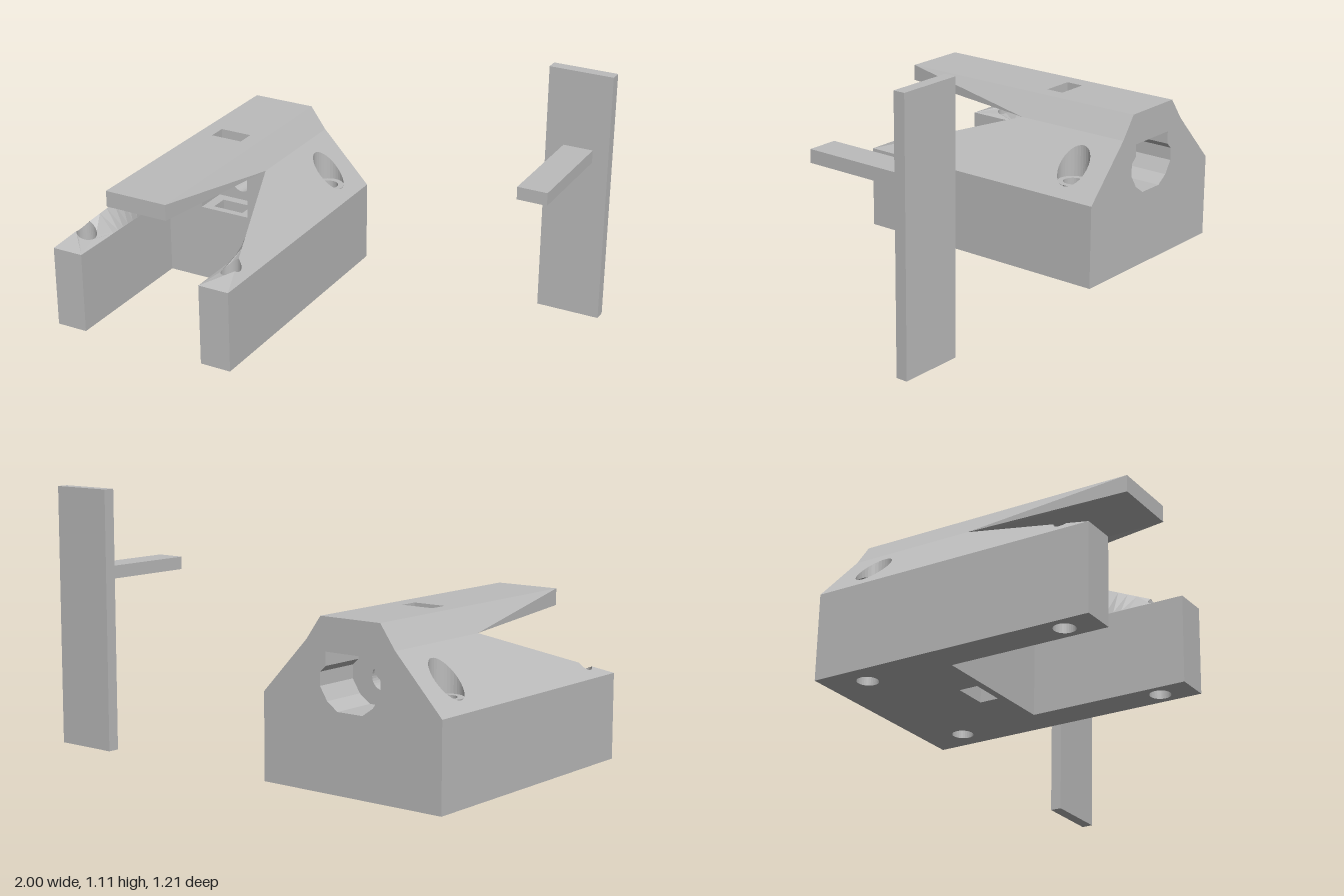
import * as THREE from 'three';

const grey = new THREE.MeshStandardMaterial({ color: 0xbcbcbc, side: THREE.DoubleSide });
grey.name = 'grey plastic';

const BASE = 0.005, BACK = -0.6, FRONT = 0.6, MID = -0.07;
const lerp = THREE.MathUtils.lerp;

function add(group, name, geo) {
  const mesh = new THREE.Mesh(geo, grey);
  mesh.name = name;
  group.add(mesh);
}

// Flat outline with holes, each 2D point placed in space by map(u, v)
function face(outline, holes, map) {
  const vec = (pts) => pts.map(([u, v]) => new THREE.Vector2(u, v));
  const shape = new THREE.Shape(vec(outline));
  shape.holes = holes.map((h) => new THREE.Path(vec(h)));
  const geo = new THREE.ShapeGeometry(shape).toNonIndexed();
  const p = geo.attributes.position;
  for (let i = 0; i < p.count; i++) p.setXYZ(i, ...map(p.getX(i), p.getY(i)));
  geo.computeVertexNormals();
  return geo;
}

// Ruled surface between two rows of 3D points
function ruled(a, b, closed = false) {
  const n = a.length, index = [];
  for (let i = 0; i < (closed ? n : n - 1); i++) {
    const j = (i + 1) % n;
    index.push(i, j, n + j, i, n + j, n + i);
  }
  let geo = new THREE.BufferGeometry();
  geo.setAttribute('position', new THREE.Float32BufferAttribute([...a, ...b].flat(), 3));
  geo.setIndex(index);
  geo = geo.toNonIndexed();
  geo.computeVertexNormals();
  return geo;
}

// Hole wall: one outline mapped to two ends
const tube = (pts, mapA, mapB) => ruled(pts.map((p) => mapA(...p)), pts.map((p) => mapB(...p)), true);

const arc = (cx, cy, r, a0, a1, n) =>
  Array.from({ length: n + 1 }, (_, i) => {
    const a = lerp(a0, a1, i / n);
    return [cx + r * Math.cos(a), cy + r * Math.sin(a)];
  });
const circle = (cx, cy, r) => arc(cx, cy, r, 0, Math.PI * 2, 32).slice(0, -1);
const rect = (x0, y0, x1, y1) => [[x0, y0], [x1, y0], [x1, y1], [x0, y1]];
const atY = (y) => (x, z) => [x, y, z];
const atZ = (z) => (x, y) => [x, y, z];
const mirrored = (half) => [...half, ...half.map(([x, y]) => [-x, y]).reverse()];

// Rear screw hole and front screw hole, measured out from the middle of the body
const REAR = [0.3215, -0.43], NOSE = [0.357, 0.46], BORE = 0.043;

// Half profile and the edges of the tapering side cut (t: 0 at the front, 1 at the slot's end)
const zAt = (t) => lerp(FRONT, MID, t);
const armX = (t) => 0.4275 - 0.215 * t;
const slopeY = (x) => 0.365 + (0.4275 - x) * (0.228 / 0.215);
const upperY = (x) => 0.69 - (x - 0.1425) * (0.097 / 0.07);
const steps = (t0, t1, n, f) => Array.from({ length: n + 1 }, (_, i) => f(lerp(t0, t1, i / n)));

function addSide(group, s, label) {
  const put = (name, geo) => add(group, label + name, geo);
  const m = (f) => (u, v) => { const [x, y, z] = f(u, v); return [s * x, y, z]; };
  const slope = m((x, z) => [x, slopeY(x), z]);

  // Front screw hole straddles the ridge of the arm: find where they cross
  const k = 0.215 / (FRONT - MID), phi = Math.atan(k);
  const cross = Math.acos((armX((FRONT - NOSE[1]) / (FRONT - MID)) - NOSE[0]) / (BORE * Math.hypot(1, k)));
  const outerArc = arc(...NOSE, BORE, -phi - cross, -phi + cross, 12);
  const innerArc = arc(...NOSE, BORE, -phi + cross, Math.PI * 2 - phi - cross, 20);

  // Outer wall, lower slope and upper slope
  put('OuterWall', face(rect(BASE, BACK, 0.365, FRONT), [], m((y, z) => [0.4275, y, z])));
  put('LowerSlope', face(
    [[0.4275, BACK], [0.2125, BACK], [0.2125, MID], ...outerArc, [0.4275, FRONT]],
    [circle(...REAR, 0.068)], slope));
  put('UpperSlope', face([[0.2125, BACK], [0.1425, BACK], [0.1425, FRONT], [0.2125, MID]], [],
    m((x, z) => [x, upperY(x), z])));

  // Arm: front end, inner wall and twisted top
  put('ArmFront', face(rect(0.2875, BASE, 0.4275, 0.365), [], m(atZ(FRONT))));
  put('ArmInnerWall', face(rect(BASE, MID, 0.365, FRONT), [], m((y, z) => [0.2875, y, z])));
  const ridge = (t) => [s * armX(t), slopeY(armX(t)), zAt(t)];
  const inner = (t) => [s * 0.2875, 0.365, zAt(t)];
  const twist = (t, u) => ridge(t).map((c, i) => lerp(c, inner(t)[i], u));
  const bite = innerArc.map(([x, z]) => {
    const t = (FRONT - z) / (FRONT - MID);
    return [t, (armX(t) - x) / (armX(t) - 0.2875)];
  });
  put('ArmTopFront', face([[0, 0], ...bite, [0.35, 0], [0.35, 1], [0, 1]], [], twist));
  put('ArmTopRear', ruled(steps(0.35, 1, 12, ridge), steps(0.35, 1, 12, inner)));

  // Tapering side and underside of the roof tongue
  const lip = (t) => [s * (0.1425 + 0.07 * t), 0.69 - 0.097 * t, zAt(t)];
  const under = (t) => [s * (0.1425 + 0.07 * t), 0.62 - 0.027 * t, zAt(t)];
  const mid = (t) => [s * 0.1425, 0.62, zAt(t)];
  put('TongueSide', ruled(steps(0, 1, 12, lip), steps(0, 1, 12, under)));
  put('TongueUnderside', ruled(steps(0, 1, 12, under), steps(0, 1, 12, mid)));

  // Counterbored rear screw hole
  const seat = 0.41, wide = circle(...REAR, 0.068), thin = circle(...REAR, BORE);
  put('Counterbore', tube(wide, m((x, z) => [x, Math.max(slopeY(x), seat), z]), m(atY(seat))));
  put('ScrewSeat', face(wide, [thin], m(atY(seat))));
  put('RearScrewHole', tube(thin, m(atY(seat)), m(atY(BASE))));

  // Plain front screw hole, its rim following the arm top
  const rimY = (x, z) => {
    const t = (FRONT - z) / (FRONT - MID), px = armX(t);
    return x > px ? slopeY(x) : lerp(slopeY(px), 0.365, (px - x) / (px - 0.2875));
  };
  put('FrontScrewHole', tube(circle(...NOSE, BORE), m((x, z) => [x, rimY(x, z), z]), m(atY(BASE))));
}

function buildBody() {
  const body = new THREE.Group();
  body.name = 'clampBody';
  addSide(body, 1, 'left');
  addSide(body, -1, 'right');

  const slot = rect(-0.0725, -0.18, 0.0725, -0.1);
  const pocket = rect(-0.1175, 0.35, 0.1175, 0.53);
  const bore = circle(0, 0.44, 0.05);
  const socket = mirrored([[0.06, 0.33], [0.11, 0.365], [0.145, 0.42], [0.145, 0.475], [0.1175, 0.5], [0.1175, 0.555]]);
  const PB = -0.22, SB = -0.4;

  // Roof tongue
  add(body, 'roof', face(rect(-0.1425, BACK, 0.1425, FRONT), [slot], atY(0.69)));
  add(body, 'tongueFront', face(rect(-0.1425, 0.62, 0.1425, 0.69), [], atZ(FRONT)));
  add(body, 'tongueCentreUnderside', face(rect(-0.1425, MID, 0.1425, FRONT), [], atY(0.62)));

  // U-shaped bottom with screw holes and slot
  const screwHoles = [1, -1].flatMap((s) => [REAR, NOSE].map(([x, z]) => circle(s * x, z, BORE)));
  add(body, 'bottom', face(
    mirrored([[0.4275, BACK], [0.4275, FRONT], [0.2875, FRONT], [0.2875, MID]]),
    [slot, ...screwHoles], atY(BASE)));

  // Back face and the wall at the end of the open slot
  add(body, 'backFace', face(
    mirrored([[0.4275, BASE], [0.4275, 0.365], [0.2125, 0.593], [0.1425, 0.69]]), [socket], atZ(BACK)));
  add(body, 'slotEndWall', face(
    mirrored([[0.2875, BASE], [0.2875, 0.365], [0.2125, 0.593], [0.1425, 0.62]]), [pocket], atZ(MID)));

  // Pocket, lengthwise bore and rear socket
  for (const x of [-0.1175, 0.1175])
    add(body, 'pocketSide', face(rect(0.35, PB, 0.53, MID), [], (y, z) => [x, y, z]));
  for (const y of [0.35, 0.53])
    add(body, y < 0.4 ? 'pocketFloor' : 'pocketCeiling', face(rect(-0.1175, PB, 0.1175, MID), [slot], atY(y)));
  add(body, 'pocketBack', face(pocket, [bore], atZ(PB)));
  add(body, 'lengthwiseBore', tube(bore, atZ(PB), atZ(SB)));
  add(body, 'socketEnd', face(socket, [bore], atZ(SB)));
  add(body, 'socketWall', tube(socket, atZ(SB), atZ(BACK)));

  // Vertical slot above and below the pocket
  add(body, 'upperSlot', tube(slot, atY(0.69), atY(0.53)));
  add(body, 'lowerSlot', tube(slot, atY(0.35), atY(BASE)));

  body.position.x = -0.5725;
  return body;
}

// Separate key: upright plate with a bar
function buildKey() {
  const key = new THREE.Group();
  key.name = 'key';
  const box = (name, x0, x1, y0, y1, z0, z1) =>
    add(key, name, new THREE.BoxGeometry(x1 - x0, y1 - y0, z1 - z0)
      .translate((x0 + x1) / 2, (y0 + y1) / 2, (z0 + z1) / 2));
  box('keyPlate', 0.72, 1, 0, 1.105, -0.605, -0.555);
  box('keyBar', 0.8, 0.93, 0.715, 0.77, -0.555, -0.07);
  return key;
}

export function createModel() {
  const model = new THREE.Group();
  model.name = 'clampWithKey';
  model.add(buildBody(), buildKey());
  return model;
}
